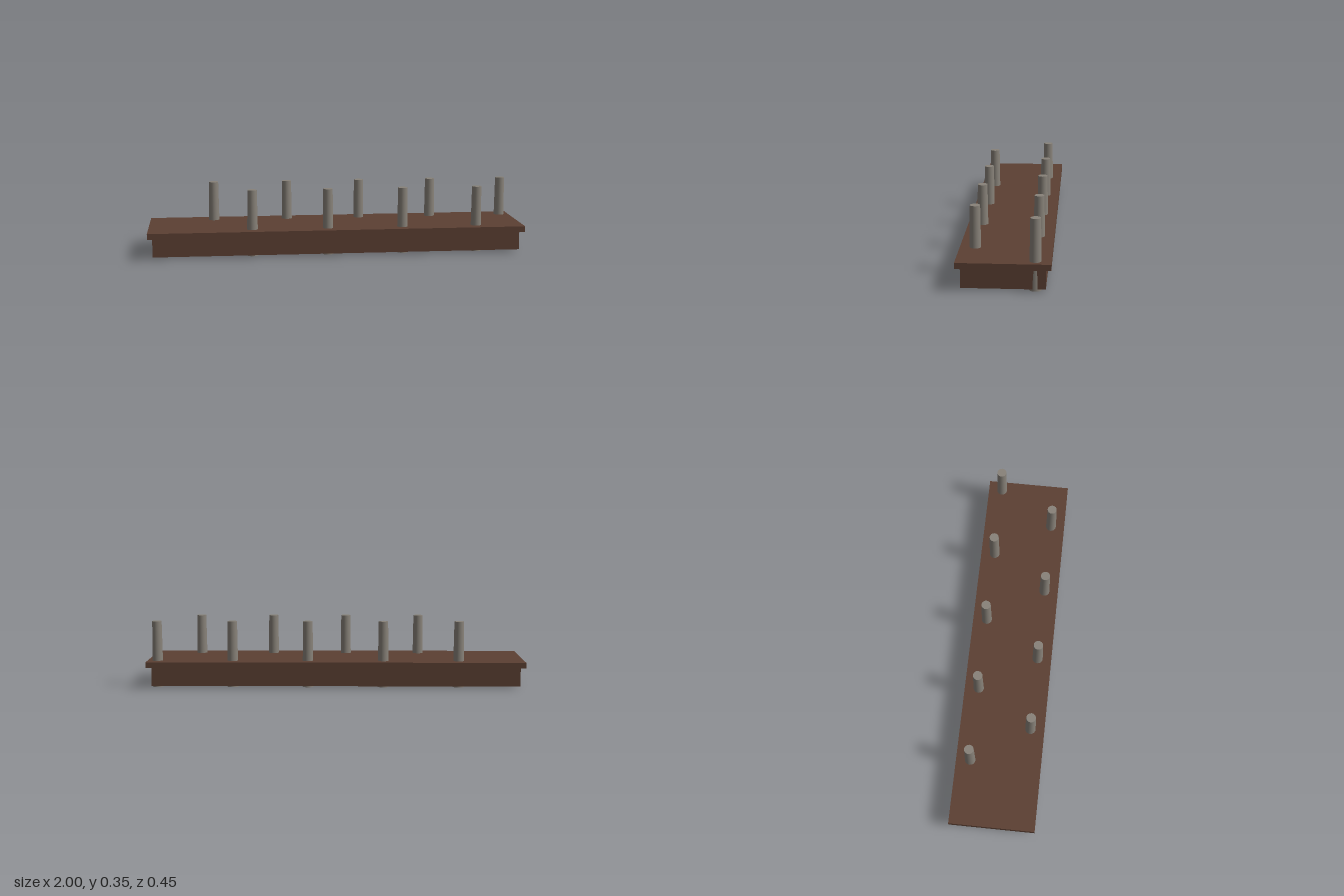
import * as THREE from 'three';

export function createModel() {
  const group = new THREE.Group();
  const wood = new THREE.MeshStandardMaterial({ color: 0x5c4033 });
  wood.name = 'dark wood';
  const metal = new THREE.MeshStandardMaterial({ color: 0x888279 });
  metal.name = 'grey metal';

  const add = (name, geometry, material, x, y, z) => {
    const mesh = new THREE.Mesh(geometry, material);
    mesh.name = name;
    mesh.position.set(x, y, z);
    group.add(mesh);
  };

  // Base block with a wider board on top
  add('baseBlock', new THREE.BoxGeometry(1.95, 0.1, 0.4), wood, 0, 0.06, 0);
  add('topBoard', new THREE.BoxGeometry(2, 0.03, 0.45), wood, 0, 0.125, 0);

  // Tapered pegs run right through the boards, alternating back and front
  const peg = new THREE.CylinderGeometry(0.025, 0.03, 0.35, 16);
  for (let i = 0; i < 9; i++) {
    add(`peg${i + 1}`, peg, metal, -0.652 + i * 0.2, 0.175, i % 2 ? 0.15 : -0.15);
  }
  return group;
}
